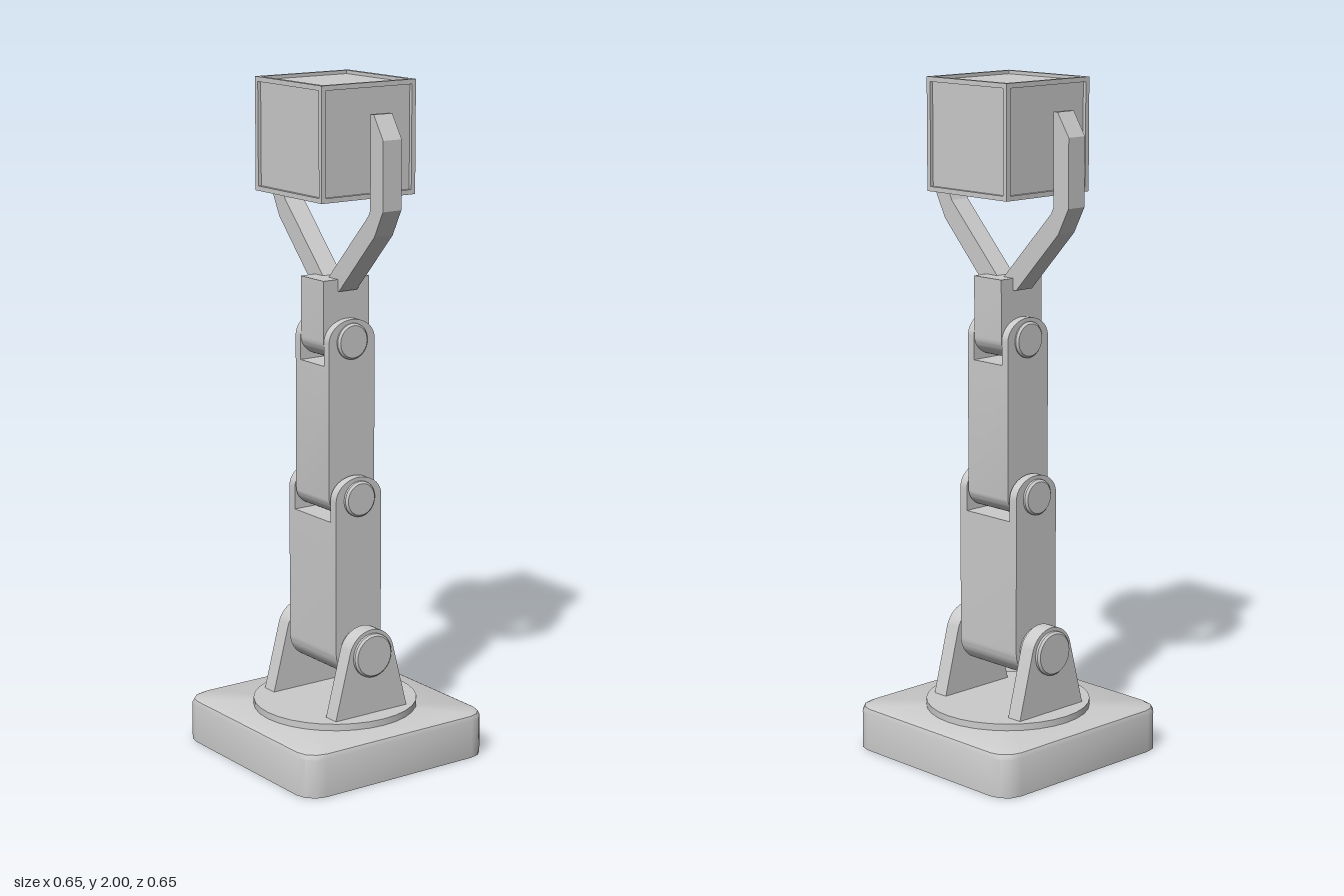
import * as THREE from 'three';
import { toCreasedNormals } from 'three/addons/utils/BufferGeometryUtils.js';

const grey = new THREE.MeshStandardMaterial({ color: 0xcccccc });
const greyDouble = new THREE.MeshStandardMaterial({ color: 0xcccccc, side: THREE.DoubleSide });

function add(parent, name, geometry, material = grey) {
  const mesh = new THREE.Mesh(geometry, material);
  mesh.name = name;
  parent.add(mesh);
  return mesh;
}

// Extrude a side profile (z, y) across x from x0 to x1
function slab(shape, x0, x1) {
  const g = new THREE.ExtrudeGeometry(shape, { depth: x1 - x0, bevelEnabled: false, curveSegments: 16 });
  g.rotateY(Math.PI / 2).translate(x0, 0, 0);
  return toCreasedNormals(g, 0.5);
}

// Straight strip with a rounded bottom (pivot) or a rounded top (fork prong)
function roundBottom(halfZ, pivotY, drop, topY) {
  const s = new THREE.Shape();
  s.moveTo(halfZ, topY);
  s.lineTo(-halfZ, topY);
  s.lineTo(-halfZ, pivotY);
  s.absellipse(0, pivotY, halfZ, drop, Math.PI, Math.PI * 2, false);
  return s;
}
function roundTop(halfZ, bottomY, pivotY, rise) {
  const s = new THREE.Shape();
  s.moveTo(-halfZ, bottomY);
  s.lineTo(halfZ, bottomY);
  s.lineTo(halfZ, pivotY);
  s.absellipse(0, pivotY, halfZ, rise, 0, Math.PI, false);
  return s;
}

// Hinge pin along x with softly chamfered ends
function hinge(parent, y, r, halfLength) {
  const c = 0.006;
  const pts = [[0, -halfLength], [r - c, -halfLength], [r, -halfLength + c],
    [r, halfLength - c], [r - c, halfLength], [0, halfLength]].map(p => new THREE.Vector2(...p));
  const g = new THREE.LatheGeometry(pts, 32).rotateZ(Math.PI / 2).translate(0, y, 0);
  add(parent, 'hingePin', toCreasedNormals(g, 0.5));
}

// Open-bottomed rounded square shell built from stacked rings
function baseShell(half, radius) {
  const rings = [[0, 0], [0, 0.115], [0.005, 0.128], [0.016, 0.134], [half, 0.134]];
  const pos = [], index = [], steps = 3, n = 4 * (steps + 1);
  for (const [inset, y] of rings) {
    const k = (half - inset) / half;
    for (let q = 0; q < 4; q++) {
      for (let i = 0; i <= steps; i++) {
        const a = (q + i / steps) * Math.PI / 2;
        const cx = (q === 0 || q === 3 ? 1 : -1) * (half - radius);
        const cz = (q < 2 ? 1 : -1) * (half - radius);
        pos.push(k * (cx + radius * Math.cos(a)), y, k * (cz + radius * Math.sin(a)));
      }
    }
  }
  for (let r = 0; r < rings.length - 1; r++) {
    for (let i = 0; i < n; i++) {
      const a = r * n + i, b = r * n + (i + 1) % n;
      index.push(a, a + n, b);
      if (r < rings.length - 2) index.push(b, a + n, b + n);
    }
  }
  const g = new THREE.BufferGeometry();
  g.setAttribute('position', new THREE.Float32BufferAttribute(pos, 3));
  g.setIndex(index);
  return toCreasedNormals(g, 0.6);
}

// Arm segment: rounded lower end, solid body and two prongs at the top
function armSegment(parent, name, o) {
  const arm = new THREE.Group();
  arm.name = name;
  add(arm, 'armBody', slab(roundBottom(0.081, o.pivot, o.drop, o.slot), -o.half, o.half));
  for (const s of [-1, 1]) {
    const x = [s * o.inner, s * o.half].sort((a, b) => a - b);
    add(arm, 'forkProng', slab(roundTop(0.081, o.slot, o.next, 0.063), x[0], x[1]));
  }
  parent.add(arm);
}

export function createModel() {
  const model = new THREE.Group();
  model.name = 'roboticArm';

  // Base and turntable
  add(model, 'base', baseShell(0.327, 0.063), greyDouble);
  const disc = new THREE.CylinderGeometry(0.244, 0.244, 0.022, 32);
  add(model, 'turntable', disc).position.y = 0.143;

  // Shoulder brackets, tapering to a round top
  const bracket = new THREE.Shape();
  bracket.moveTo(-0.13, 0.15);
  bracket.lineTo(0.13, 0.15);
  bracket.absarc(0, 0.331, 0.08, 0.26, Math.PI - 0.26, false);
  add(model, 'shoulderBracket', slab(bracket, 0.134, 0.183));
  add(model, 'shoulderBracket', slab(bracket, -0.183, -0.134));
  hinge(model, 0.334, 0.066, 0.197);

  // Two arm segments and the wrist
  armSegment(model, 'lowerArm', { half: 0.118, inner: 0.09, pivot: 0.335, drop: 0.081, slot: 0.728, next: 0.794 });
  hinge(model, 0.793, 0.053, 0.131);
  armSegment(model, 'upperArm', { half: 0.083, inner: 0.058, pivot: 0.797, drop: 0.062, slot: 1.185, next: 1.254 });
  hinge(model, 1.253, 0.053, 0.093);
  add(model, 'wrist', slab(roundBottom(0.081, 1.256, 0.062, 1.432), -0.056, 0.056));

  // Gripper fingers
  const outline = [[0.02, 1.397], [0.064, 1.397], [0.233, 1.577], [0.272, 1.652], [0.272, 1.85],
    [0.228, 1.918], [0.213, 1.918], [0.213, 1.65], [0.204, 1.632], [0.012, 1.43]];
  for (const s of [-1, 1]) {
    const shape = new THREE.Shape(outline.map(([x, y]) => new THREE.Vector2(s * x - 0.004, y)));
    const g = new THREE.ExtrudeGeometry(shape, { depth: 0.064, bevelEnabled: false });
    add(model, 'gripperFinger', g.translate(0, 0, -0.034));
  }

  // Held cube: recessed panels inside a frame of twelve edge bars
  const cube = new THREE.Group();
  cube.name = 'heldCube';
  cube.position.y = 1.837;
  const size = 0.326, t = 0.014, c = (size - t) / 2;
  add(cube, 'cubePanels', new THREE.BoxGeometry(size - 0.02, size - 0.02, size - 0.02));
  for (const a of [-c, c]) {
    for (const b of [-c, c]) {
      add(cube, 'cubeEdge', new THREE.BoxGeometry(size, t, t)).position.set(0, a, b);
      add(cube, 'cubeEdge', new THREE.BoxGeometry(t, size, t)).position.set(a, 0, b);
      add(cube, 'cubeEdge', new THREE.BoxGeometry(t, t, size)).position.set(a, b, 0);
    }
  }
  model.add(cube);
  return model;
}
